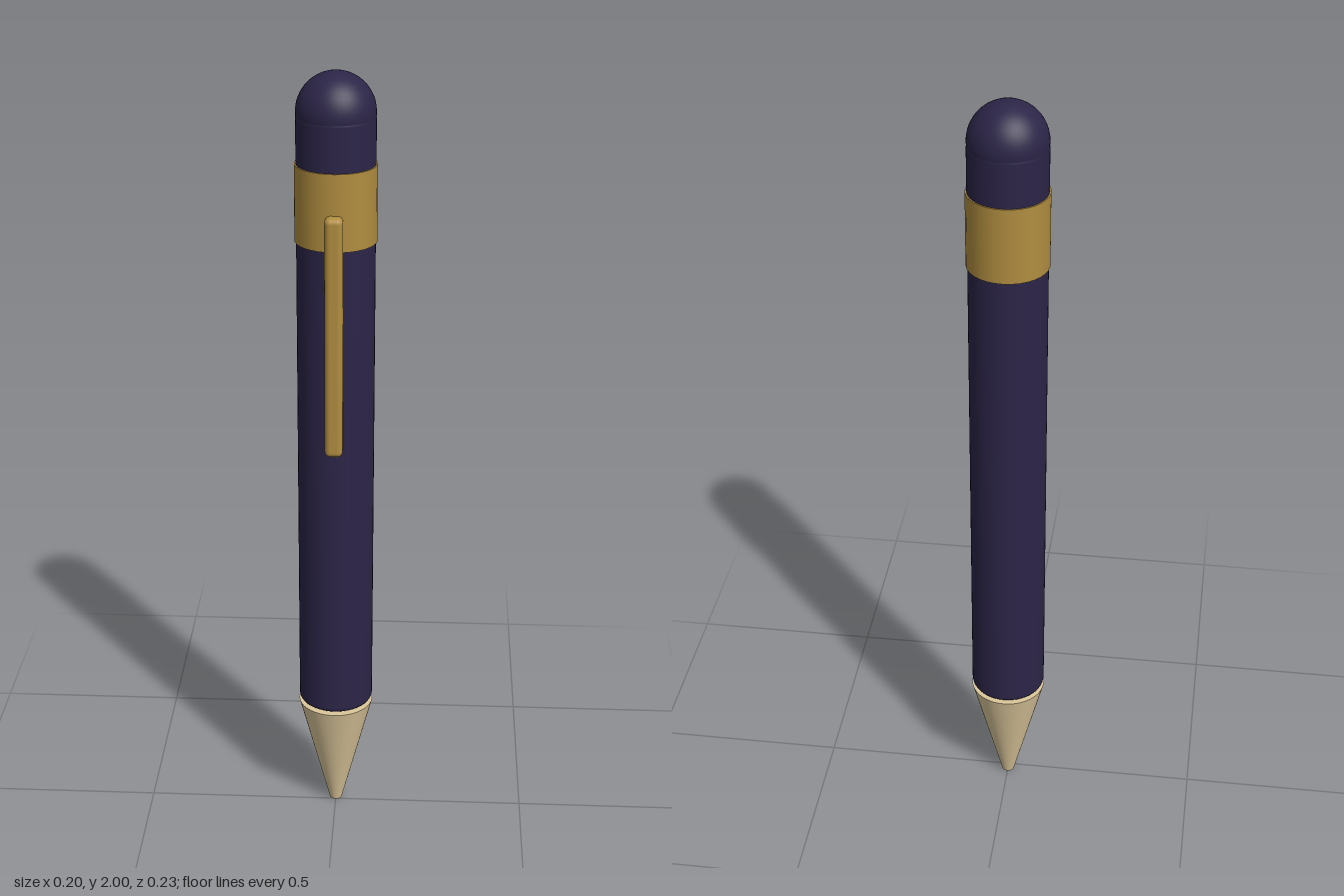
import * as THREE from 'three';
import { RoundedBoxGeometry } from 'three/addons/geometries/RoundedBoxGeometry.js';

const navy = new THREE.MeshStandardMaterial({ color: 0x2c2548 });
const gold = new THREE.MeshStandardMaterial({ color: 0xb08d40 });
const wood = new THREE.MeshStandardMaterial({ color: 0xdcc79b });

const AXIS_Z = -0.014; // the clip pushes the barrel slightly back
const R = 0.096;

function add(group, name, geometry, material, y, z = AXIS_Z) {
  const mesh = new THREE.Mesh(geometry, material);
  mesh.name = name;
  mesh.position.set(0, y, z);
  group.add(mesh);
}

// Closed cylinder profile with rounded rims, from y = 0 to y = height
function barrelProfile(radius, height, bevel) {
  const points = [new THREE.Vector2(0, 0)];
  const corner = (cy, start) => {
    for (let i = 0; i <= 4; i++) {
      const a = start + (i / 4) * Math.PI / 2;
      points.push(new THREE.Vector2(radius - bevel + Math.cos(a) * bevel, cy + Math.sin(a) * bevel));
    }
  };
  corner(bevel, -Math.PI / 2);
  corner(height - bevel, 0);
  points.push(new THREE.Vector2(0, height));
  return points;
}

export function createModel() {
  const pen = new THREE.Group();
  pen.name = 'pen';

  // Barrel and domed end
  add(pen, 'barrel', new THREE.LatheGeometry(barrelProfile(R, 1.584, 0.015), 48), navy, 0.32);
  add(pen, 'domedEnd', new THREE.SphereGeometry(R, 48, 24), navy, 2 - R);

  // Tapered tip with a small blunt point
  add(pen, 'tip', new THREE.CylinderGeometry(0.097, 0.016, 0.315, 48), wood, 0.1575);

  // Collar band and pocket clip
  add(pen, 'collar', new THREE.CylinderGeometry(0.1, 0.1, 0.19, 32), gold, 1.685);
  add(pen, 'clip', new RoundedBoxGeometry(0.044, 0.61, 0.044, 4, 0.014), gold, 1.375, 0.092);

  return pen;
}
